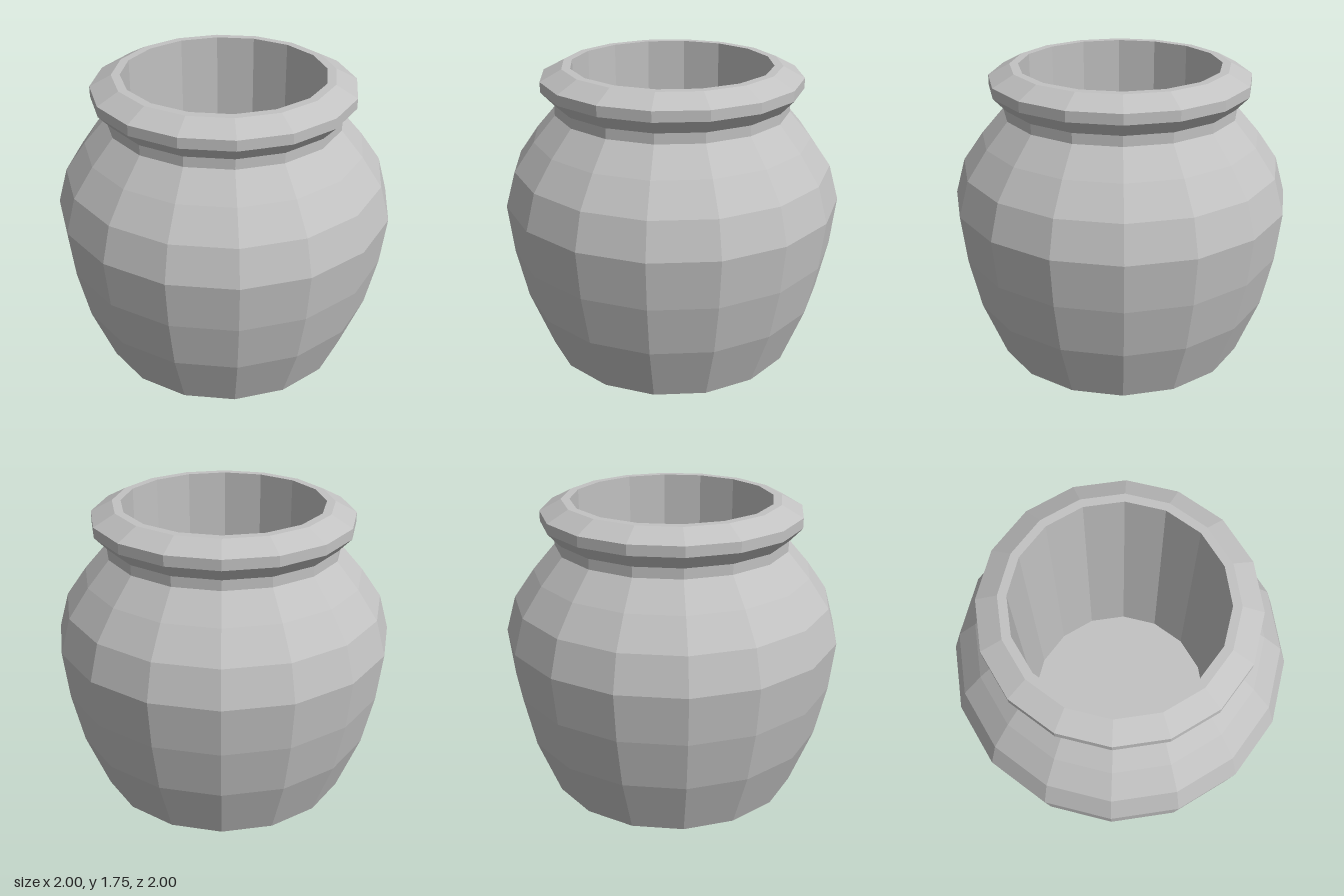
import * as THREE from 'three';

const SIDES = 16;

export function createModel() {
  const pot = new THREE.Group();
  pot.name = 'pot';

  const clay = new THREE.MeshStandardMaterial({ color: 0xc2c2c2, flatShading: true });
  clay.name = 'grey clay';

  // Spins a profile of [radius, height] pairs into a faceted ring
  function turned(name, profile) {
    const points = profile.map(([r, y]) => new THREE.Vector2(r, y));
    const mesh = new THREE.Mesh(new THREE.LatheGeometry(points, SIDES), clay);
    mesh.name = name;
    pot.add(mesh);
  }

  // Closed base and bulging belly up to the shoulder
  turned('body', [
    [0, 0], [0.77, 0], [0.905, 0.36], [0.97, 0.67], [1, 0.96],
    [0.94, 1.17], [0.82, 1.34], [0.69, 1.49],
  ]);

  // Short upright neck
  turned('neck', [[0.69, 1.49], [0.69, 1.55]]);

  // Flared lip with bevelled top edge
  turned('rim', [
    [0.69, 1.55], [0.765, 1.63], [0.765, 1.69], [0.64, 1.755], [0.59, 1.755],
  ]);

  // Straight hollow with a flat floor
  turned('interior', [[0.59, 1.755], [0.59, 0.15], [0, 0.15]]);

  return pot;
}
